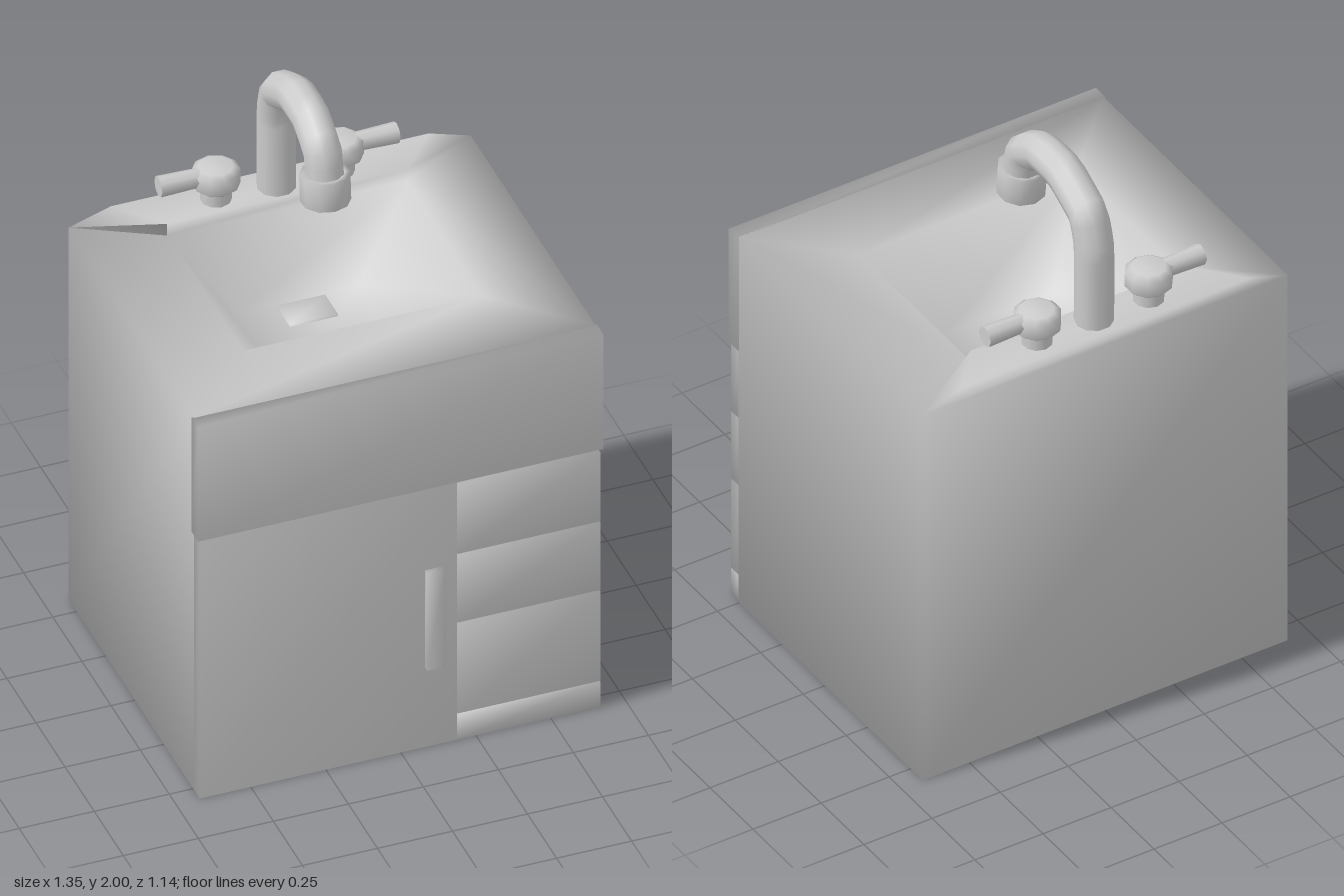
import * as THREE from 'three';
import { mergeVertices } from 'three/addons/utils/BufferGeometryUtils.js';

const material = new THREE.MeshStandardMaterial({ color: 0xcccccc });
const thinMaterial = new THREE.MeshStandardMaterial({ color: 0xcccccc, side: THREE.DoubleSide });

function add(parent, name, geometry, x = 0, y = 0, z = 0, mat = material) {
  const mesh = new THREE.Mesh(geometry, mat);
  mesh.name = name;
  mesh.position.set(x, y, z);
  parent.add(mesh);
  return mesh;
}

// Box given by its limits, with normals shared across the corners for a soft look
function softBox(parent, name, [x0, x1], [y0, y1], [z0, z1]) {
  let geo = new THREE.BoxGeometry(x1 - x0, y1 - y0, z1 - z0);
  geo.deleteAttribute('normal');
  geo.deleteAttribute('uv');
  geo = mergeVertices(geo);
  geo.computeVertexNormals();
  return add(parent, name, geo, (x0 + x1) / 2, (y0 + y1) / 2, (z0 + z1) / 2);
}

// Corner ring: front left, front right, back right, back left
const ring = (xFront, xBack, y, zFront, zBack) => [
  -xFront, y, zFront, xFront, y, zFront, xBack, y, zBack, -xBack, y, zBack,
];

// Cabinet with sunken basin and raised tap ledge, as one soft shell
function cabinetGeometry() {
  const positions = [
    ...ring(0.67, 0.67, 0, 0.505, -0.57),       // 0 bottom
    ...ring(0.67, 0.67, 1.43, 0.505, -0.57),    // 4 worktop edge
    ...ring(0.4, 0.4, 1.43, 0.23, -0.42),       // 8 basin opening
    ...ring(0.2, 0.2, 1.15, 0.05, -0.32),       // 12 basin floor
    ...ring(0.4, 0.53, 1.475, -0.42, -0.57),    // 16 ledge top
  ];
  const index = [];
  const quad = (a, b, c, d) => index.push(a, b, c, a, c, d);
  for (let i = 0; i < 4; i++) {
    const j = (i + 1) % 4;
    quad(i, j, 4 + j, 4 + i);                       // outer wall
    if (i !== 2) quad(4 + i, 4 + j, 8 + j, 8 + i);  // worktop
    quad(8 + i, 8 + j, 12 + j, 12 + i);             // basin wall
  }
  quad(3, 2, 1, 0);
  quad(12, 13, 14, 15);
  // ledge top, front, back and sloping ends
  quad(16, 17, 18, 19);
  quad(11, 10, 17, 16);
  quad(6, 7, 19, 18);
  index.push(7, 11, 16, 7, 16, 19, 6, 17, 10, 6, 18, 17);
  const geo = new THREE.BufferGeometry();
  geo.setAttribute('position', new THREE.Float32BufferAttribute(positions, 3));
  geo.setIndex(index);
  geo.computeVertexNormals();
  return geo;
}

// Straight-segment path in the y-z plane
function pipePath(x, points) {
  const path = new THREE.CurvePath();
  const pts = points.map(([z, y]) => new THREE.Vector3(x, y, z));
  for (let i = 1; i < pts.length; i++) path.add(new THREE.LineCurve3(pts[i - 1], pts[i]));
  return path;
}

export function createModel() {
  const model = new THREE.Group();
  model.name = 'sinkCabinet';
  add(model, 'cabinetAndBasin', cabinetGeometry());

  // Front panels
  const depth = [0.5, 0.556];
  softBox(model, 'upperPanel', [-0.675, 0.675], [0.99, 1.43], depth);
  softBox(model, 'door', [-0.67, 0.187], [0, 0.99], depth);
  softBox(model, 'doorHandle', [0.08, 0.145], [0.305, 0.68], [0.54, 0.575]);
  const drawers = [[0, 0.097], [0.1, 0.445], [0.45, 0.71], [0.714, 0.98]];
  drawers.forEach((y, i) => softBox(model, `drawer${i + 1}`, [0.19, 0.665], y, depth));

  // Drain in the basin floor and the waste pipe behind it
  softBox(model, 'drain', [-0.08, 0.08], [1.1, 1.158], [-0.3, -0.19]);
  const waste = pipePath(0, [[-0.25, 1.12], [-0.25, 0.6], [-0.32, 0.44], [-0.53, 0.38]]);
  add(model, 'wastePipe', new THREE.TubeGeometry(waste, 24, 0.045, 10), 0, 0, 0, thinMaterial);

  // Tap: bent spout with a collar at its mouth
  const tap = new THREE.Group();
  tap.name = 'tap';
  model.add(tap);
  const bend = new THREE.CatmullRomCurve3([
    [-0.488, 1.46], [-0.488, 1.76], [-0.455, 1.865], [-0.32, 1.938],
    [-0.19, 1.938], [-0.09, 1.875], [-0.065, 1.76],
  ].map(([z, y]) => new THREE.Vector3(-0.01, y, z)), false, 'catmullrom', 0.15);
  add(tap, 'spout', new THREE.TubeGeometry(bend, 24, 0.063, 10), 0, 0, 0, thinMaterial);
  const collar = [[0.05, 0.04], [0.06, 0.05], [0.08, 0.05], [0.08, -0.05], [0.062, -0.05], [0.055, 0.03], [0, 0.03]]
    .map(([r, y]) => new THREE.Vector2(r, y));
  add(tap, 'spoutCollar', new THREE.LatheGeometry(collar, 10), -0.01, 1.758, -0.068, thinMaterial)
    .rotation.x = -0.08;

  // Lever handles on either side
  for (const [name, side, x] of [['rightLever', -1, -0.21], ['leftLever', 1, 0.2]]) {
    const lever = new THREE.Group();
    lever.name = name;
    lever.position.set(x, 0, -0.49);
    model.add(lever);
    add(lever, 'stem', new THREE.CylinderGeometry(0.05, 0.05, 0.07, 10), 0, 1.5, 0);
    const knob = [[0, 0.043], [0.055, 0.04], [0.077, 0.025], [0.077, -0.025], [0.06, -0.04], [0, -0.04]]
      .reverse().map(([r, y]) => new THREE.Vector2(r, y));
    add(lever, 'knob', new THREE.LatheGeometry(knob, 10), 0, 1.562, 0);
    const bar = new THREE.CylinderGeometry(0.035, 0.03, 0.17, 8).rotateZ(-side * Math.PI / 2);
    add(lever, 'bar', bar, side * 0.107, 1.571, 0);
  }
  return model;
}
